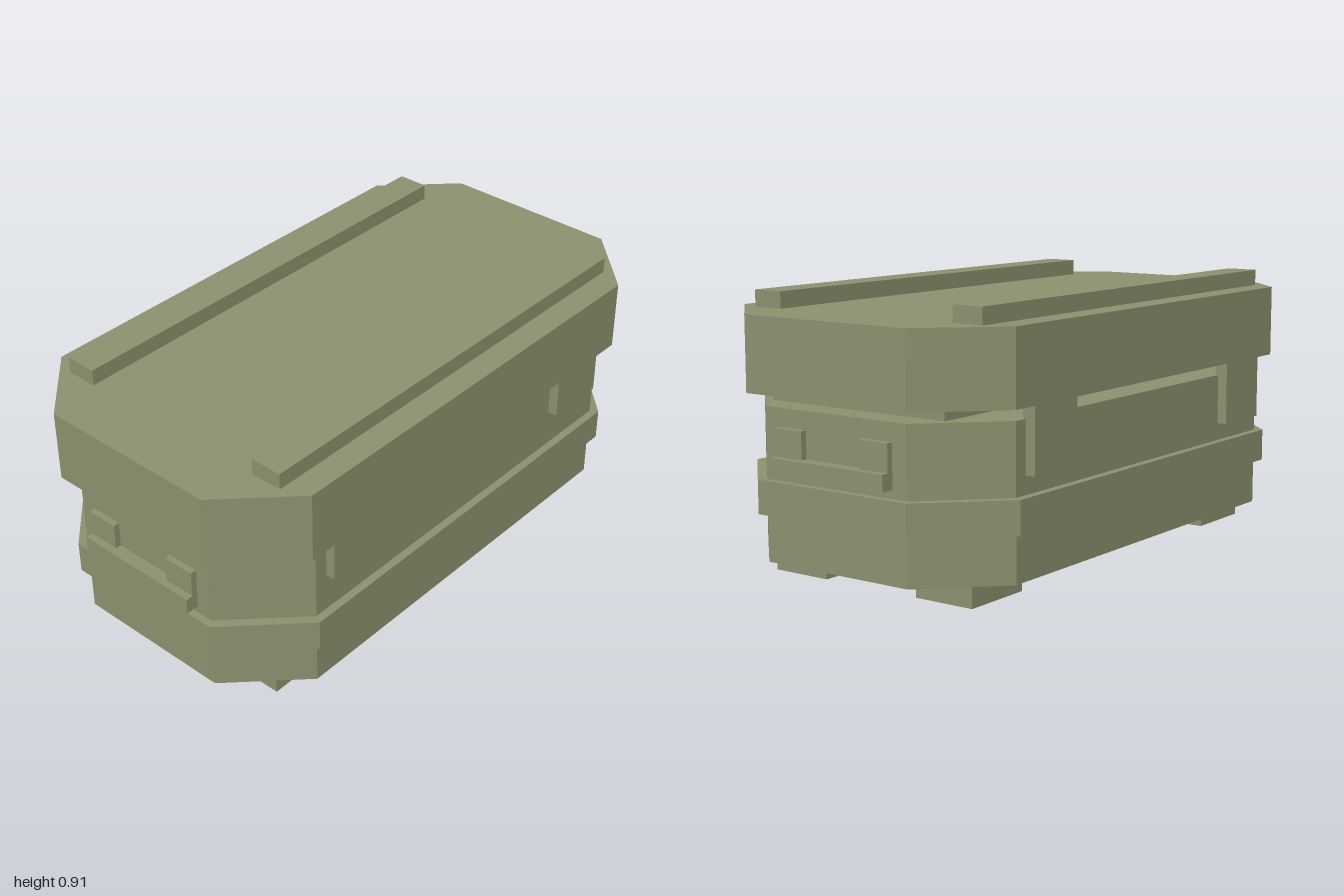
import * as THREE from 'three';

export function createModel() {
  const model = new THREE.Group();
  model.name = 'storageCrate';
  const olive = new THREE.MeshStandardMaterial({ color: 0x8c8f6e });
  olive.name = 'olive';

  const add = (name, geometry, x, y, z) => {
    const mesh = new THREE.Mesh(geometry, olive);
    mesh.name = name;
    mesh.position.set(x, y, z);
    model.add(mesh);
  };

  // Box given by its lower and upper limits
  const box = (name, x0, x1, y0, y1, z0, z1) =>
    add(name, new THREE.BoxGeometry(x1 - x0, y1 - y0, z1 - z0),
      (x0 + x1) / 2, (y0 + y1) / 2, (z0 + z1) / 2);

  // Upright slab with its four corners cut off
  const slab = (name, hx, hz, cut, y0, y1) => {
    const cx = hx - cut, cz = hz - cut;
    const outline = new THREE.Shape([
      [cx, -hz], [hx, -cz], [hx, cz], [cx, hz],
      [-cx, hz], [-hx, cz], [-hx, -cz], [-cx, -hz],
    ].map(([x, z]) => new THREE.Vector2(x, z)));
    const geometry = new THREE.ExtrudeGeometry(outline, { depth: y1 - y0, bevelEnabled: false });
    geometry.rotateX(-Math.PI / 2);
    add(name, geometry, 0, y0, 0);
  };

  // Main shells
  slab('body', 0.955, 0.51, 0.228, 0.075, 0.57);
  slab('bodyBand', 0.98, 0.537, 0.238, 0.23, 0.34);
  slab('lid', 1, 0.544, 0.225, 0.612, 0.855);
  box('neck', -0.855, 0.855, 0.56, 0.62, -0.345, 0.345);

  // Rails on the lid
  for (const s of [-1, 1]) {
    const z = s * 0.4;
    box('lidRail', -0.815, 0.815, 0.855, 0.91, z - 0.055, z + 0.055);
  }

  for (const s of [-1, 1]) {
    // Front latches and longer back hinges
    const x = s * 0.57;
    box('frontLatch', x - 0.11, x + 0.11, 0.475, 0.612, 0.5, 0.544);
    box('backHinge', x - 0.11, x + 0.11, 0.4, 0.612, -0.544, -0.5);

    // End handle: low bar and two raised mounts
    const bar = s * 0.97, mount = s * 0.955;
    box('handleBar', bar - 0.03, bar + 0.03, 0.367, 0.42, -0.227, 0.227);
    for (const t of [-1, 1]) {
      const z = t * 0.171;
      box('handleMount', mount - 0.021, mount + 0.021, 0.42, 0.51, z - 0.056, z + 0.056);

      // Feet
      const fx = s * 0.674, fz = t * 0.292;
      box('foot', fx - 0.126, fx + 0.126, 0, 0.075, fz - 0.108, fz + 0.108);
    }
  }
  return model;
}
